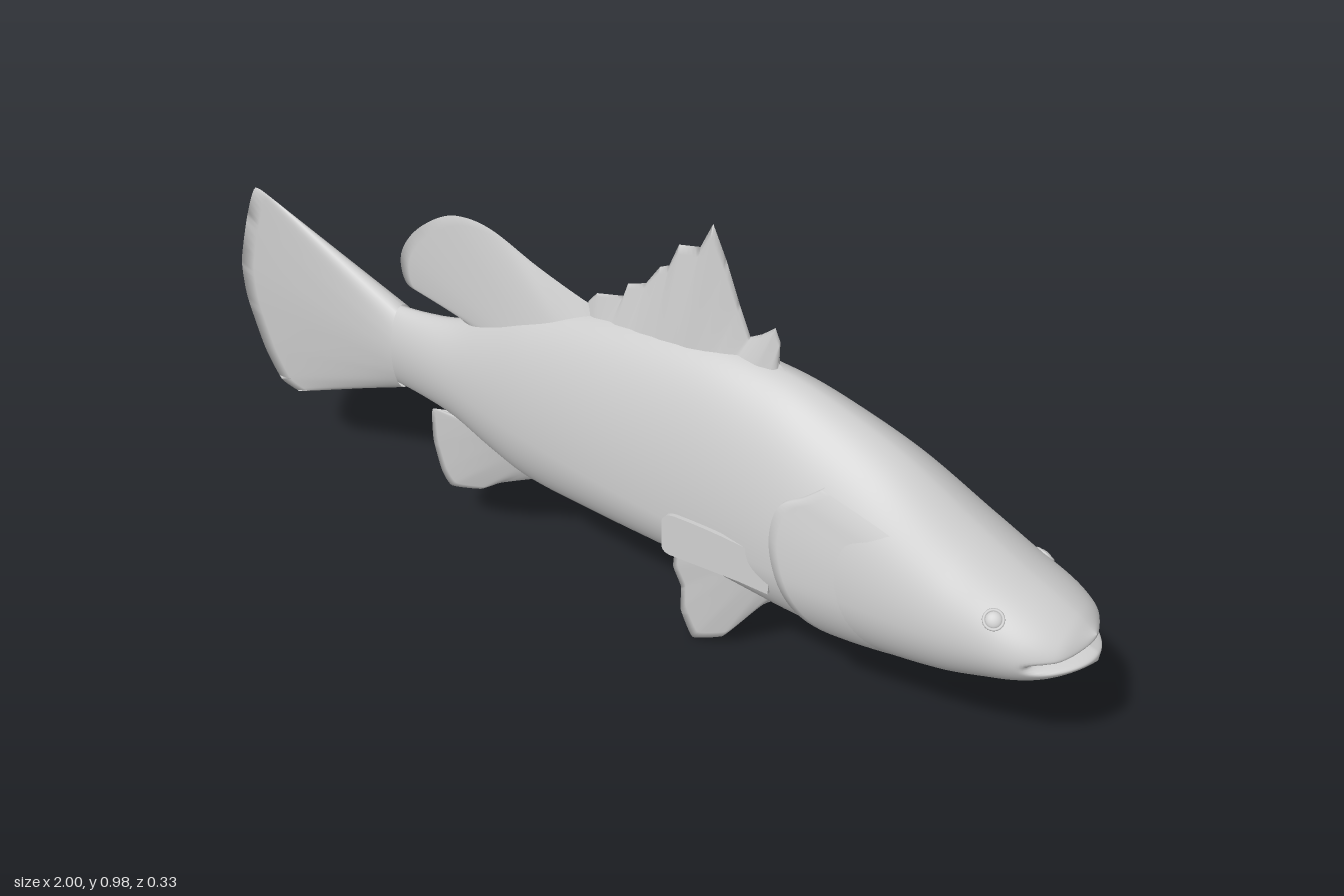
import * as THREE from 'three';
import { mergeVertices } from 'three/addons/utils/BufferGeometryUtils.js';

const material = new THREE.MeshStandardMaterial({ color: 0xcccccc, side: THREE.DoubleSide });

// Body stations, tail to snout: x, back y, belly y, half width, y of the widest line
const STATIONS = [
  [-0.6, 0.54, 0.35, 0.033, 0.445], [-0.5, 0.545, 0.342, 0.047, 0.445], [-0.4, 0.565, 0.325, 0.062, 0.44],
  [-0.3, 0.615, 0.285, 0.079, 0.43], [-0.2, 0.66, 0.255, 0.095, 0.42], [0, 0.71, 0.25, 0.12, 0.41],
  [0.2, 0.735, 0.248, 0.135, 0.4], [0.35, 0.725, 0.235, 0.147, 0.4], [0.45, 0.7, 0.227, 0.154, 0.4],
  [0.6, 0.642, 0.225, 0.156, 0.4], [0.75, 0.555, 0.245, 0.146, 0.395], [0.85, 0.5, 0.278, 0.131, 0.39],
  [0.93, 0.46, 0.315, 0.126, 0.387], [1, 0.418, 0.362, 0.122, 0.387],
];

// Cubic interpolation of one station column
function profile(x, col) {
  const S = STATIONS, last = S.length - 1;
  let i = 0;
  while (i < last - 1 && x > S[i + 1][0]) i++;
  const slope = (k) => {
    const a = S[Math.max(k - 1, 0)], b = S[Math.min(k + 1, last)];
    return (b[col] - a[col]) / (b[0] - a[0]);
  };
  const h = S[i + 1][0] - S[i][0], t = (x - S[i][0]) / h, t2 = t * t, t3 = t2 * t;
  return (2 * t3 - 3 * t2 + 1) * S[i][col] + (t3 - 2 * t2 + t) * h * slope(i)
    + (3 * t2 - 2 * t3) * S[i + 1][col] + (t3 - t2) * h * slope(i + 1);
}

function section(x) {
  const nose = x > 0.85 ? Math.sqrt(Math.max(0, 1 - ((x - 0.85) / 0.15) ** 2)) : 1;
  return { top: profile(x, 1), bottom: profile(x, 2), width: profile(x, 3) * nose, mid: profile(x, 4) };
}

// Half width of the body at a point of its side view
function sideZ(x, y) {
  const s = section(x);
  const k = Math.min(1, Math.abs((y - s.mid) / (y > s.mid ? s.top - s.mid : s.mid - s.bottom)));
  return s.width * Math.pow(1 - k * k, 0.575);
}

// Smooth grid surface from a rule fn(u, v) -> [x, y, z]
function surface(nu, nv, fn) {
  const pos = [], index = [];
  for (let i = 0; i <= nu; i++) for (let j = 0; j <= nv; j++) pos.push(...fn(i / nu, j / nv));
  for (let i = 0; i < nu; i++) for (let j = 0; j < nv; j++) {
    const a = i * (nv + 1) + j, b = a + nv + 1;
    index.push(a, b, a + 1, b, b + 1, a + 1);
  }
  let geo = new THREE.BufferGeometry();
  geo.setAttribute('position', new THREE.Float32BufferAttribute(pos, 3));
  geo.setIndex(index);
  geo = mergeVertices(geo, 1e-5);
  geo.computeVertexNormals();
  return geo;
}

// Body loft with the mouth pressed into the snout
function bodyPoint(u, v) {
  let x = -0.58 + 1.58 * (1 - (1 - u) ** 2);
  const s = section(x), a = v * Math.PI * 2, c = Math.cos(a), sn = Math.sin(a);
  let z = s.width * Math.sign(c) * Math.pow(Math.abs(c), 1.15);
  let y = s.mid + (sn > 0 ? s.top - s.mid : s.mid - s.bottom) * sn;
  const d = y - (0.393 - 0.12 * Math.abs(z));
  const front = THREE.MathUtils.smoothstep(x, 0.9, 0.95);
  const pull = 0.32 * front * Math.exp(-((d / 0.008) ** 2));
  if (d > 0) x -= 0.01 * THREE.MathUtils.smoothstep(x, 0.95, 1) * Math.min(1, d / 0.01);
  return [x + (0.87 - x) * pull, y, z * (1 - pull)];
}

// Fin: ribs run from a straight root to a tip outline, thinning to a sharp edge
function finGeometry(root, tip, thickness, tension) {
  const curve = new THREE.CatmullRomCurve3(
    tip.map(([x, y]) => new THREE.Vector3(x, y, 0)), false, 'catmullrom', tension);
  return surface((tip.length - 1) * 6, 24, (u, v) => {
    const side = v <= 0.5 ? 1 : -1, t = side > 0 ? v * 2 : 2 - v * 2;
    const p = curve.getPoint(u);
    const rx = THREE.MathUtils.lerp(root[0][0], root[1][0], u);
    const ry = THREE.MathUtils.lerp(root[0][1], root[1][1], u);
    const z = side * thickness * (1 - t) * Math.sqrt(Math.max(0, 4 * u * (1 - u)));
    return [rx + (p.x - rx) * t, ry + (p.y - ry) * t, z];
  });
}

const FINS = [
  { name: 'tailFin', root: [[-0.55, 0.545], [-0.55, 0.343]], thickness: 0.042, tension: 0.3,
    tip: [[-0.87, 0.683], [-0.93, 0.7], [-0.965, 0.62], [-0.998, 0.5], [-0.995, 0.41], [-0.96, 0.29], [-0.92, 0.22], [-0.87, 0.205]] },
  { name: 'spinyDorsalFin', root: [[-0.09, 0.66], [0.37, 0.69]], thickness: 0.035, tension: 0,
    tip: [[-0.08, 0.72], [-0.06, 0.745], [0, 0.76], [0.01, 0.79], [0.05, 0.805], [0.08, 0.85], [0.1, 0.86],
      [0.12, 0.91], [0.165, 0.92], [0.19, 0.975], [0.22, 0.91], [0.25, 0.83], [0.275, 0.77], [0.3, 0.785],
      [0.325, 0.807], [0.337, 0.78], [0.335, 0.735], [0.37, 0.715]] },
  { name: 'softDorsalFin', root: [[-0.04, 0.67], [-0.38, 0.56]], thickness: 0.036, tension: 0.5,
    tip: [[-0.05, 0.71], [-0.1, 0.722], [-0.2, 0.757], [-0.3, 0.8], [-0.37, 0.808], [-0.43, 0.79], [-0.5, 0.735],
      [-0.54, 0.67], [-0.535, 0.61], [-0.5, 0.593], [-0.42, 0.587], [-0.39, 0.57]] },
  { name: 'pelvicFin', root: [[0.21, 0.27], [0.42, 0.25]], thickness: 0.024, tension: 0.2,
    tip: [[0.2, 0.245], [0.13, 0.235], [0.12, 0.165], [0.14, 0.12], [0.14, 0.06], [0.17, 0.0], [0.24, 0.037],
      [0.285, 0.1], [0.33, 0.165], [0.4, 0.23]] },
  { name: 'analFin', root: [[-0.4, 0.35], [-0.17, 0.27]], thickness: 0.028, tension: 0.25,
    tip: [[-0.39, 0.325], [-0.44, 0.318], [-0.485, 0.31], [-0.488, 0.23], [-0.47, 0.155], [-0.445, 0.125],
      [-0.365, 0.15], [-0.31, 0.19], [-0.2, 0.25]] },
];

// Gill cover: raised rear edge, blending forward into the cheek
function gillGeometry(side) {
  const edge = new THREE.CatmullRomCurve3([[0.58, 0.232], [0.5, 0.295], [0.445, 0.39], [0.42, 0.48],
    [0.43, 0.545], [0.47, 0.572], [0.5, 0.595]].map(([x, y]) => new THREE.Vector3(x, y, 0)));
  return surface(10, 40, (u, v) => {
    const p = edge.getPoint(side > 0 ? v : 1 - v);
    const t = Math.max(0, (u - 0.1) / 0.9), x = p.x + 0.16 * t;
    const s = section(x), s0 = section(p.x);
    // keep the same relative height on the narrowing head
    const y = s.bottom + (p.y - s0.bottom) * (s.top - s.bottom) / (s0.top - s0.bottom);
    const lift = u === 0 ? -0.006 : 0.01 * (1 - t) - 0.002 * t;
    return [x, y, side * (sideZ(x, y) + lift)];
  });
}

// Pectoral fin: thin rounded paddle leaning away from the flank
function pectoralGeometry(side) {
  const shape = new THREE.Shape();
  shape.moveTo(0.42, 0.34);
  shape.lineTo(0.36, 0.345);
  shape.lineTo(0.215, 0.348);
  shape.quadraticCurveTo(0.195, 0.35, 0.196, 0.37);
  shape.lineTo(0.194, 0.42);
  shape.quadraticCurveTo(0.197, 0.437, 0.22, 0.438);
  shape.quadraticCurveTo(0.32, 0.436, 0.42, 0.415);
  const geo = new THREE.ExtrudeGeometry(shape, { depth: 0.008, bevelEnabled: false, curveSegments: 6 });
  const p = geo.attributes.position;
  for (let i = 0; i < p.count; i++) {
    const x = p.getX(i), y = p.getY(i);
    const lean = 0.157 - 0.07 * (x - 0.2) + 0.06 * (0.4 - y);
    p.setZ(i, lean + side * (p.getZ(i) - 0.004));
  }
  if (side < 0) for (let i = 0; i < p.count; i++) p.setZ(i, -p.getZ(i));
  geo.computeVertexNormals();
  return geo;
}

// Eye: shallow dome in a thin rim, turned to the cheek surface
function createEye(side) {
  const eye = new THREE.Group(), x = 0.84, y = 0.455, e = 0.01;
  const dome = new THREE.Mesh(new THREE.SphereGeometry(0.015, 20, 14), material);
  dome.scale.z = 0.4;
  eye.add(dome, new THREE.Mesh(new THREE.TorusGeometry(0.017, 0.003, 8, 28), material));
  const normal = new THREE.Vector3(
    -(sideZ(x + e, y) - sideZ(x - e, y)) / (2 * e), -(sideZ(x, y + e) - sideZ(x, y - e)) / (2 * e), 1).normalize();
  normal.z *= side;
  eye.quaternion.setFromUnitVectors(new THREE.Vector3(0, 0, 1).multiplyScalar(side), normal);
  eye.position.set(x, y, side * sideZ(x, y));
  return eye;
}

export function createModel() {
  const fish = new THREE.Group();
  fish.name = 'fish';
  const add = (name, geometry) => {
    const mesh = new THREE.Mesh(geometry, material);
    mesh.name = name;
    fish.add(mesh);
  };

  add('body', surface(120, 128, bodyPoint));
  for (const f of FINS) add(f.name, finGeometry(f.root, f.tip, f.thickness, f.tension));

  // Paired parts
  for (const [label, side] of [['front', 1], ['back', -1]]) {
    add(label + 'GillCover', gillGeometry(side));
    add(label + 'PectoralFin', pectoralGeometry(side));
    const eye = createEye(side);
    eye.name = label + 'Eye';
    fish.add(eye);
  }
  return fish;
}
